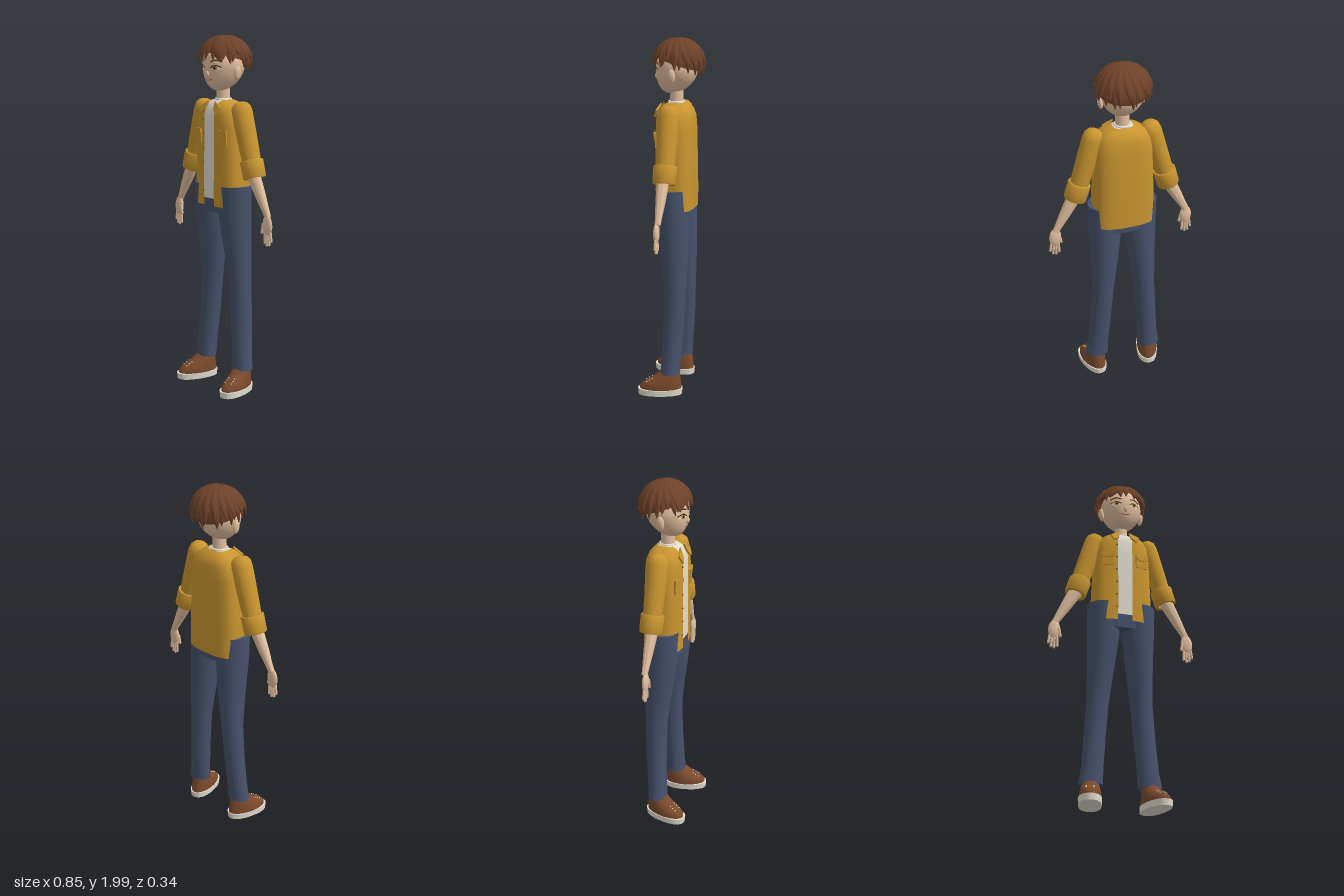
import * as THREE from 'three';
import { toCreasedNormals } from 'three/addons/utils/BufferGeometryUtils.js';

const mat = (name, color, side = THREE.FrontSide) => {
  const m = new THREE.MeshStandardMaterial({ color, side });
  m.name = name;
  return m;
};
const M = {
  skin: mat('skin', 0xe3bf9f), hair: mat('hairBrown', 0x6e4229, THREE.DoubleSide),
  jacket: mat('mustard', 0xc9952f, THREE.DoubleSide), denim: mat('denim', 0x46516b),
  white: mat('offWhite', 0xe2ddd0), shoe: mat('leather', 0x7b4a2d),
  amber: mat('amber', 0xb9822b), dark: mat('dark', 0x33241d), lip: mat('lip', 0xa8685a),
};

function add(parent, name, geo, material, pos = [0, 0, 0], rot = [0, 0, 0], scale = [1, 1, 1]) {
  const m = new THREE.Mesh(geo, material);
  m.name = name;
  m.position.set(...pos); m.rotation.set(...rot); m.scale.set(...scale);
  parent.add(m);
  return m;
}

function group(parent, name, pos = [0, 0, 0], rot = [0, 0, 0]) {
  const g = new THREE.Group();
  g.name = name;
  g.position.set(...pos); g.rotation.set(...rot);
  parent.add(g);
  return g;
}

// Grid of points to a surface
function grid(rows, cols, point, crease) {
  const pos = [], idx = [];
  for (let j = 0; j <= rows; j++) for (let i = 0; i <= cols; i++) {
    pos.push(...point(j, i / cols));
    if (j < rows && i < cols) {
      const a = j * (cols + 1) + i, b = a + cols + 1;
      idx.push(a, b, a + 1, b, b + 1, a + 1);
    }
  }
  const g = new THREE.BufferGeometry();
  g.setAttribute('position', new THREE.Float32BufferAttribute(pos, 3));
  g.setIndex(idx);
  return toCreasedNormals(g, crease);
}

// Stacked superellipse rings [y, x, z, rx, rz], bottom to top; gap leaves the front open
function loft(rings, n = 2, gap = 0) {
  const pw = v => Math.sign(v) * Math.abs(v) ** (2 / n);
  return grid(rings.length - 1, 48, (j, t) => {
    const [y, x, z, rx, rz] = rings[j];
    const a0 = gap ? Math.acos((gap / rx) ** (n / 2)) : Math.PI / 2;
    const a = Math.PI - a0 + t * (Math.PI + 2 * a0);
    return [x + rx * pw(Math.cos(a)), y, z + rz * pw(Math.sin(a))];
  }, 0.8);
}

const lathe = pts => toCreasedNormals(
  new THREE.LatheGeometry(pts.map(p => new THREE.Vector2(...p)), 28), 0.8);
const ball = new THREE.SphereGeometry(1, 28, 20);

// Skull: an ellipsoid narrowing to a chin that sits forward
const HEAD = { y: 1.83, z: -0.015, rx: 0.12, ry: 0.138, rz: 0.115 };
function headZ(x, y) {
  const yn = (y - HEAD.y) / HEAD.ry, v = Math.max(0, -yn);
  const xn = x / (HEAD.rx * (1 - 0.15 * v));
  return HEAD.z + 0.03 * v * v + HEAD.rz * Math.sqrt(Math.max(0, 1 - xn * xn - yn * yn));
}

function buildHead(root) {
  const head = group(root, 'head');
  const g = new THREE.SphereGeometry(1, 40, 32), p = g.attributes.position;
  for (let i = 0; i < p.count; i++) {
    const y = p.getY(i), v = Math.max(0, -y);
    p.setXYZ(i, p.getX(i) * HEAD.rx * (1 - 0.15 * v), HEAD.y + y * HEAD.ry,
      HEAD.z + p.getZ(i) * HEAD.rz + 0.03 * v * v);
  }
  g.computeVertexNormals();
  add(head, 'skull', g, M.skin);
  add(head, 'nose', ball, M.skin, [0, 1.785, headZ(0, 1.785)], [0.25, 0, 0], [0.011, 0.018, 0.011]);

  // Thin face details laid on the skull
  const disc = (name, x, y, rx, ry, lift, m) => {
    const d = new THREE.CircleGeometry(1, 28), q = d.attributes.position;
    for (let i = 0; i < q.count; i++) {
      const px = x + q.getX(i) * rx, py = y + q.getY(i) * ry;
      q.setXYZ(i, px, py, headZ(px, py) + lift);
    }
    d.computeVertexNormals();
    add(head, name, d, m);
  };
  const line = (name, pts, r, m) => add(head, name, new THREE.TubeGeometry(new THREE.CatmullRomCurve3(
    pts.map(([x, y]) => new THREE.Vector3(x, y, headZ(x, y) + 0.001))), 16, r, 6), m);
  for (const s of [1, -1]) {
    disc('eyeWhite', s * 0.053, 1.82, 0.028, 0.013, 0.002, M.white);
    disc('iris', s * 0.052, 1.82, 0.013, 0.0125, 0.0035, M.amber);
    disc('pupil', s * 0.052, 1.82, 0.006, 0.007, 0.005, M.dark);
    line('upperLash', [[s * 0.024, 1.819], [s * 0.05, 1.834], [s * 0.083, 1.824]], 0.003, M.dark);
    line('brow', [[s * 0.025, 1.853], [s * 0.055, 1.862], [s * 0.085, 1.852]], 0.004, M.hair);
    add(head, 'ear', ball, M.skin, [s * 0.12, 1.792, -0.012], [0, 0, s * -0.12], [0.015, 0.039, 0.022]);
  }
  line('mouth', [[-0.024, 1.759], [0, 1.752], [0.024, 1.759]], 0.003, M.lip);
  add(head, 'neck', new THREE.CylinderGeometry(0.036, 0.039, 0.16, 28), M.skin, [0, 1.68, -0.013]);
}

function buildHair(root) {
  const hair = group(root, 'hair', [0, 1.855, -0.025]);
  add(hair, 'hairCap', new THREE.SphereGeometry(1, 36, 18, 0, Math.PI * 2, 0, Math.PI * 0.49),
    M.hair, [0, 0, 0], [-0.32, 0, 0], [0.143, 0.133, 0.132]);
  // A domed, pointed lock running down from the crown
  const lock = (name, az, half, t0, t1, curl, lift) => add(hair, name, grid(12, 8, (j, t) => {
    const s = j / 12, u = t * 2 - 1, th = t0 + (t1 - t0) * s;
    const phi = az + curl * s * s + u * half * (1 - s ** 3);
    const r = 0.95 + lift + 0.06 * (1 - u * u) * Math.sin(Math.min(th, 1.5)) + 0.02 * s;
    return [0.15 * r * Math.sin(th) * Math.sin(phi), 0.143 * r * Math.cos(th),
      0.14 * r * Math.sin(th) * Math.cos(phi)];
  }, 1), M.hair);
  const reach = a => 1.75 - 0.24 * Math.cos(a);
  for (let k = 0; k < 20; k++) {
    const a = k / 20 * Math.PI * 2, wob = Math.sin(k * 2.7);
    lock('lowerLock', a, 0.25, 0.08, reach(a) + 0.07 * wob, 0.12 * wob, 0);
  }
  for (let k = 0; k < 14; k++) {
    const a = 0.9 + k / 13 * (Math.PI * 2 - 1.8), wob = Math.sin(k * 3.9);
    lock('upperLock', a, 0.24, 0.06, reach(a) * 0.84 + 0.08 * wob, 0.15, 0.025);
  }
  lock('fringeRight', -0.45, 0.6, 0.25, 1.55, -0.2, 0.02);
  lock('fringeLeft', 0.5, 0.5, 0.25, 1.6, 0.2, 0.035);
}

function buildTorso(root) {
  const torso = group(root, 'torso');
  // Jacket body, open down the front, over a shirt
  const body = [[1.06, 0, -0.016, 0.172, 0.107], [1.17, 0, -0.016, 0.173, 0.107],
    [1.35, 0, -0.015, 0.166, 0.105], [1.5, 0, -0.014, 0.16, 0.103], [1.57, 0, -0.013, 0.148, 0.1],
    [1.61, 0, -0.012, 0.125, 0.088], [1.632, 0, -0.012, 0.095, 0.068], [1.645, 0, -0.012, 0.055, 0.05]];
  add(torso, 'jacketBody', loft(body, 3, 0.042), M.jacket);
  const shirt = body.map(([y, x, z, rx, rz]) => [Math.max(y, 1.1), x, z, rx - 0.008, rz - 0.008]);
  add(torso, 'shirt', loft([[1.1, 0, -0.016, 0.001, 0.001], ...shirt, [1.65, 0, -0.012, 0.035, 0.035]], 3), M.white);
  add(torso, 'neckband', new THREE.TorusGeometry(0.041, 0.007, 10, 32), M.white, [0, 1.647, -0.013], [Math.PI / 2, 0, 0]);

  for (const s of [1, -1]) {
    // Folded collar point
    const c = new THREE.Shape([[0.028, 1.64], [0.085, 1.605], [0.066, 1.562], [0.036, 1.592]]
      .map(([x, y]) => new THREE.Vector2(s * x, y - 1.6)));
    add(torso, 'collar', new THREE.ExtrudeGeometry(c, { depth: 0.01, bevelEnabled: false }),
      M.jacket, [0, 1.6, 0.077], [-0.4, 0, 0]);
    // Chest pocket with pointed flap
    const pocket = group(torso, 'pocket', [s * 0.096, 1.445, 0.079], [0, s * 0.25, 0]);
    add(pocket, 'pocketBag', new THREE.BoxGeometry(0.068, 0.078, 0.014), M.jacket);
    const f = new THREE.Shape([[-0.037, 0.042], [-0.037, 0.018], [0, 0.002], [0.037, 0.018], [0.037, 0.042]]
      .map(q => new THREE.Vector2(...q)));
    add(pocket, 'pocketFlap', new THREE.ExtrudeGeometry(f, { depth: 0.007, bevelEnabled: false }),
      M.jacket, [0, 0, 0.006]);
  }
  for (let i = 0; i < 6; i++)
    add(torso, 'button', ball, M.shoe, [-0.049, 1.14 + i * 0.08, 0.09], [0, 0, 0], [0.005, 0.005, 0.004]);
}

function buildArm(root, s) {
  const side = s > 0 ? 'left' : 'right';
  const sleeve = group(root, side + 'Sleeve', [s * 0.163, 1.582, -0.01], [0, 0, s * 0.3]);
  add(sleeve, 'upperSleeve', lathe([[0.05, -0.3], [0.054, -0.2], [0.057, -0.08], [0.058, 0],
    [0.053, 0.03], [0.039, 0.048], [0.02, 0.057], [0, 0.06]]), M.jacket);
  add(sleeve, 'rolledCuff', lathe([[0.042, -0.362], [0.06, -0.364], [0.063, -0.358], [0.064, -0.27],
    [0.061, -0.264], [0.05, -0.264]]), M.jacket);
  const fore = group(root, side + 'Forearm', [s * 0.268, 1.25, -0.004], [0, 0, s * 0.5]);
  add(fore, 'forearm', lathe([[0, -0.248], [0.019, -0.243], [0.021, -0.21], [0.031, -0.12], [0.037, -0.04],
    [0.038, 0.03], [0, 0.05]]), M.skin, [0, 0, 0], [0, 0, 0], [1, 1, 0.85]);
  // Hand, broad side to the front
  const hand = group(root, side + 'Hand', [s * 0.384, 1.045, 0.002], [0, 0, s * 0.06]);
  add(hand, 'palm', ball, M.skin, [0, -0.05, 0], [0, 0, 0], [0.034, 0.056, 0.016]);
  for (let i = 0; i < 4; i++) {
    const x = (i - 1.5) * 0.0155, len = [0.062, 0.074, 0.07, 0.05][i];
    add(hand, 'finger', new THREE.CapsuleGeometry(0.0075, len, 5, 10), M.skin,
      [s * x, -0.085 - len / 2, 0], [0, 0, s * (i - 1.5) * 0.06]);
  }
  add(hand, 'thumb', new THREE.CapsuleGeometry(0.008, 0.045, 5, 10), M.skin,
    [s * -0.032, -0.068, 0.008], [0, 0, s * -0.25]);
}

function buildLeg(root, s) {
  const side = s > 0 ? 'left' : 'right';
  add(root, side + 'TrouserLeg', loft([[0.127, s * 0.163, -0.017, 0.001, 0.001],
    [0.127, s * 0.163, -0.017, 0.067, 0.054], [0.22, s * 0.154, -0.022, 0.06, 0.055],
    [0.4, s * 0.14, -0.032, 0.06, 0.059], [0.6, s * 0.125, -0.036, 0.062, 0.062],
    [0.75, s * 0.115, -0.03, 0.072, 0.074], [0.9, s * 0.106, -0.021, 0.083, 0.086],
    [1.02, s * 0.101, -0.013, 0.092, 0.093], [1.175, s * 0.1, -0.009, 0.097, 0.093],
    [1.175, s * 0.1, -0.009, 0.001, 0.001]]), M.denim);
  const shoe = group(root, side + 'Shoe', [s * 0.168, 0, 0], [0, s * 0.24, 0]);
  add(shoe, 'sole', loft([[0, 0, 0.04, 0.001, 0.001], [0, 0, 0.04, 0.061, 0.124], [0.034, 0, 0.04, 0.063, 0.127],
    [0.036, 0, 0.04, 0.001, 0.001]], 2.3), M.white);
  add(shoe, 'upper', loft([[0.03, 0, 0.037, 0.059, 0.119], [0.05, 0, 0.037, 0.06, 0.118],
    [0.07, 0, 0.028, 0.058, 0.106], [0.1, 0, 0.003, 0.052, 0.077], [0.13, 0, -0.014, 0.046, 0.055],
    [0.138, 0, -0.016, 0.042, 0.05], [0.138, 0, -0.016, 0.001, 0.001]]), M.shoe);
  for (const x of [-0.02, 0.02]) for (const t of [0.2, 0.5, 0.8])
    add(shoe, 'eyelet', ball, M.white, [x, 0.07 + 0.03 * t, 0.128 - 0.054 * t], [0, 0, 0], [0.004, 0.004, 0.004]);
}

export function createModel() {
  const root = new THREE.Group();
  root.name = 'figure';
  buildHead(root);
  buildHair(root);
  buildTorso(root);
  add(root, 'hips', loft([[1.02, 0, -0.015, 0.001, 0.001], [1.02, 0, -0.015, 0.12, 0.093],
    [1.12, 0, -0.015, 0.14, 0.096], [1.12, 0, -0.015, 0.001, 0.001]], 3), M.denim);
  for (const s of [1, -1]) {
    buildArm(root, s);
    buildLeg(root, s);
  }
  return root;
}
